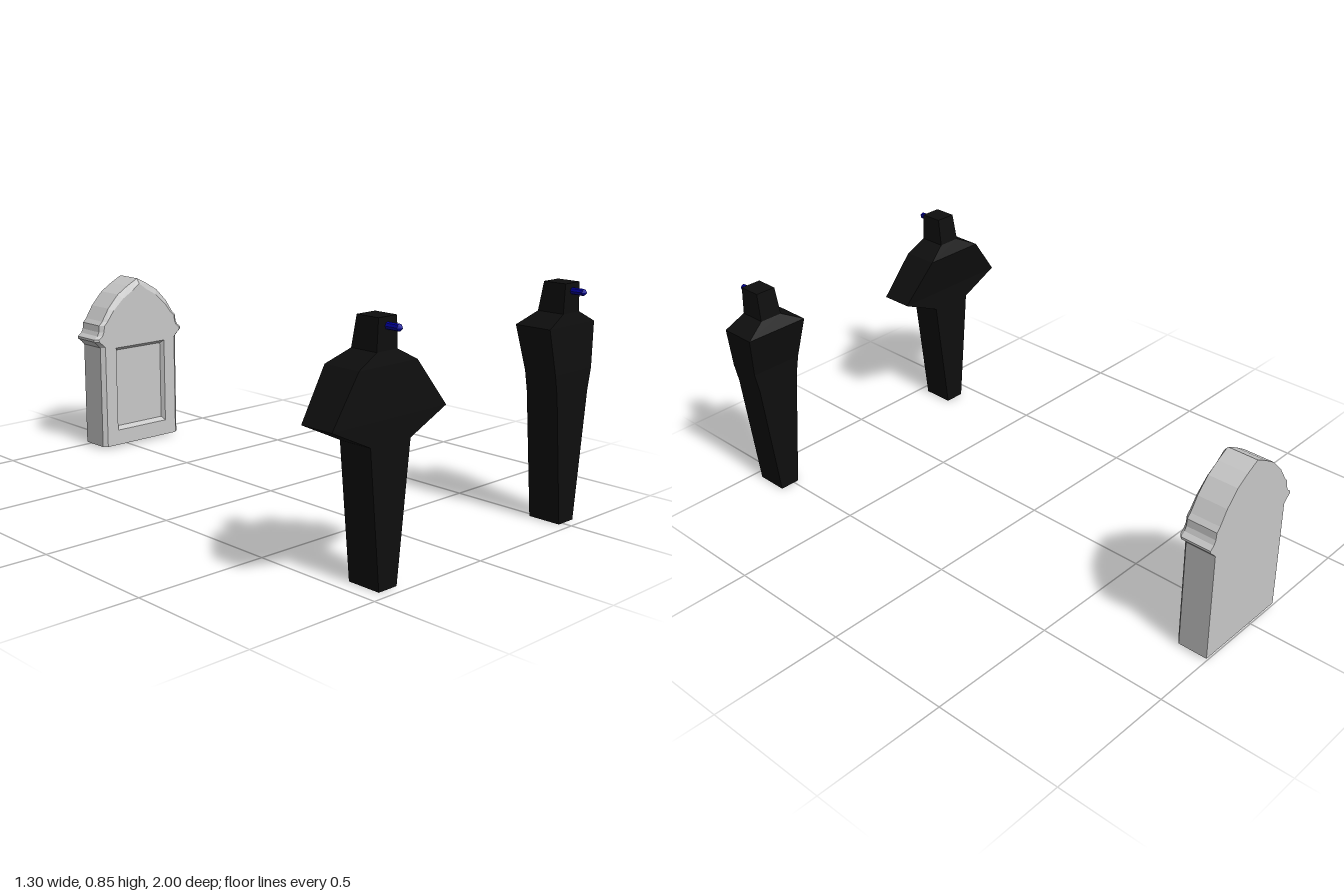
import * as THREE from 'three';

const dark = new THREE.MeshStandardMaterial({ name: 'black cloak', color: 0x0e0e0e });
const blue = new THREE.MeshStandardMaterial({ name: 'deep blue', color: 0x00009a });
const stone = new THREE.MeshStandardMaterial({ name: 'grey stone', color: 0xc8c8c8 });

// Flat-faced skin through closed loops of [x, y, z], with optional fan caps
function loft(loops, capStart, capEnd) {
  const pos = [];
  const tri = (a, b, c) => pos.push(...a, ...b, ...c);
  for (let k = 0; k < loops.length - 1; k++) {
    const a = loops[k], b = loops[k + 1], n = a.length;
    for (let i = 0; i < n; i++) {
      const j = (i + 1) % n;
      tri(a[i], a[j], b[j]);
      tri(a[i], b[j], b[i]);
    }
  }
  const first = loops[0], last = loops[loops.length - 1];
  if (capStart) for (let i = 1; i < first.length - 1; i++) tri(first[0], first[i + 1], first[i]);
  if (capEnd) for (let i = 1; i < last.length - 1; i++) tri(last[0], last[i], last[i + 1]);
  const geo = new THREE.BufferGeometry();
  geo.setAttribute('position', new THREE.Float32BufferAttribute(pos, 3));
  geo.computeVertexNormals();
  return geo;
}

function add(group, name, geo, mat) {
  const mesh = new THREE.Mesh(geo, mat);
  mesh.name = name;
  group.add(mesh);
  return mesh;
}

// Angular cloaked figure; elbow is the half width at arm height
function makeFigure(name, elbow) {
  const g = new THREE.Group();
  g.name = name;
  // y, half width, back z, front z
  const ring = ([y, w, zb, zf]) => [[-w, y, zf], [w, y, zf], [w, y, zb], [-w, y, zb]];
  const body = [
    [0, 0.04, 0.836, 0.962],
    [0.465, 0.088, 0.836, 0.962],
    [0.54, elbow, 0.836, 0.962],
    [0.7, 0.127, 0.807, 0.948],
    [0.742, 0.045, 0.836, 0.94],
  ];
  const head = [[0.742, 0.045, 0.836, 0.94], [0.845, 0.04, 0.852, 0.94]];
  add(g, 'cloak', loft(body.map(ring), true, false), dark);
  add(g, 'head', loft(head.map(ring), false, true), dark);

  // small pointed rod on the face
  const profile = [[0, 0], [0.012, 0], [0.012, 0.052], [0, 0.065]];
  const rod = new THREE.LatheGeometry(profile.map(([r, y]) => new THREE.Vector2(r, y)), 8);
  rod.rotateX(Math.PI / 2);
  const flat = rod.toNonIndexed();
  flat.computeVertexNormals();
  add(g, 'faceRod', flat, blue).position.set(0, 0.817, 0.935);
  return g;
}

function makeTombstone() {
  const g = new THREE.Group();
  g.name = 'tombstone';
  const back = -1, mid = -0.886, front = -0.872, floor = -0.89;

  // right half of the outline, bottom to peak
  const half = [
    [0.195, 0.01], [0.195, 0.432], [0.207, 0.445], [0.225, 0.46], [0.225, 0.469],
    [0.208, 0.482], [0.2, 0.498], [0.197, 0.524], [0.182, 0.54], [0.15, 0.59],
    [0.1, 0.643], [0.05, 0.674], [0, 0.7],
  ];
  const mirror = (pts) => [...pts, ...pts.slice(0, -1).reverse().map(([x, y]) => [-x, y])];
  const outer = mirror(half);
  const inner = mirror(half.map(([x, y]) => [
    Math.max(0, x - 0.016), y - 0.02 * THREE.MathUtils.smoothstep(y, 0.5, 0.68),
  ]));
  const at = (pts, z) => pts.map(([x, y]) => [x, y, z]);
  const vec = (pts) => pts.map(([x, y]) => new THREE.Vector2(x, y));

  // edge with a bevelled front rim
  add(g, 'slabEdge', loft([at(outer, back), at(outer, mid), at(inner, front)]), stone);

  const backGeo = new THREE.ShapeGeometry(new THREE.Shape(vec(outer)));
  backGeo.rotateY(Math.PI);
  add(g, 'slabBack', backGeo, stone).position.z = back;

  // front face with a sunken panel
  const rect = (w, y0, y1) => [[-w, y0], [w, y0], [w, y1], [-w, y1]];
  const rim = rect(0.125, 0.073, 0.424), panel = rect(0.116, 0.087, 0.411);
  const face = new THREE.Shape(vec(inner));
  face.holes.push(new THREE.Path(vec(rim)));
  add(g, 'slabFront', new THREE.ShapeGeometry(face), stone).position.z = front;
  add(g, 'sunkenPanel', loft([at(rim, front), at(panel, floor)], false, true), stone);
  return g;
}

export function createModel() {
  const model = new THREE.Group();
  model.name = 'graveyardSet';

  const wide = makeFigure('wideFigure', 0.25);
  wide.position.x = -0.4;
  const slim = makeFigure('slimFigure', 0.103);
  slim.position.x = 0.52;
  const tomb = makeTombstone();
  tomb.position.x = 0.061;

  model.add(wide, slim, tomb);
  return model;
}
